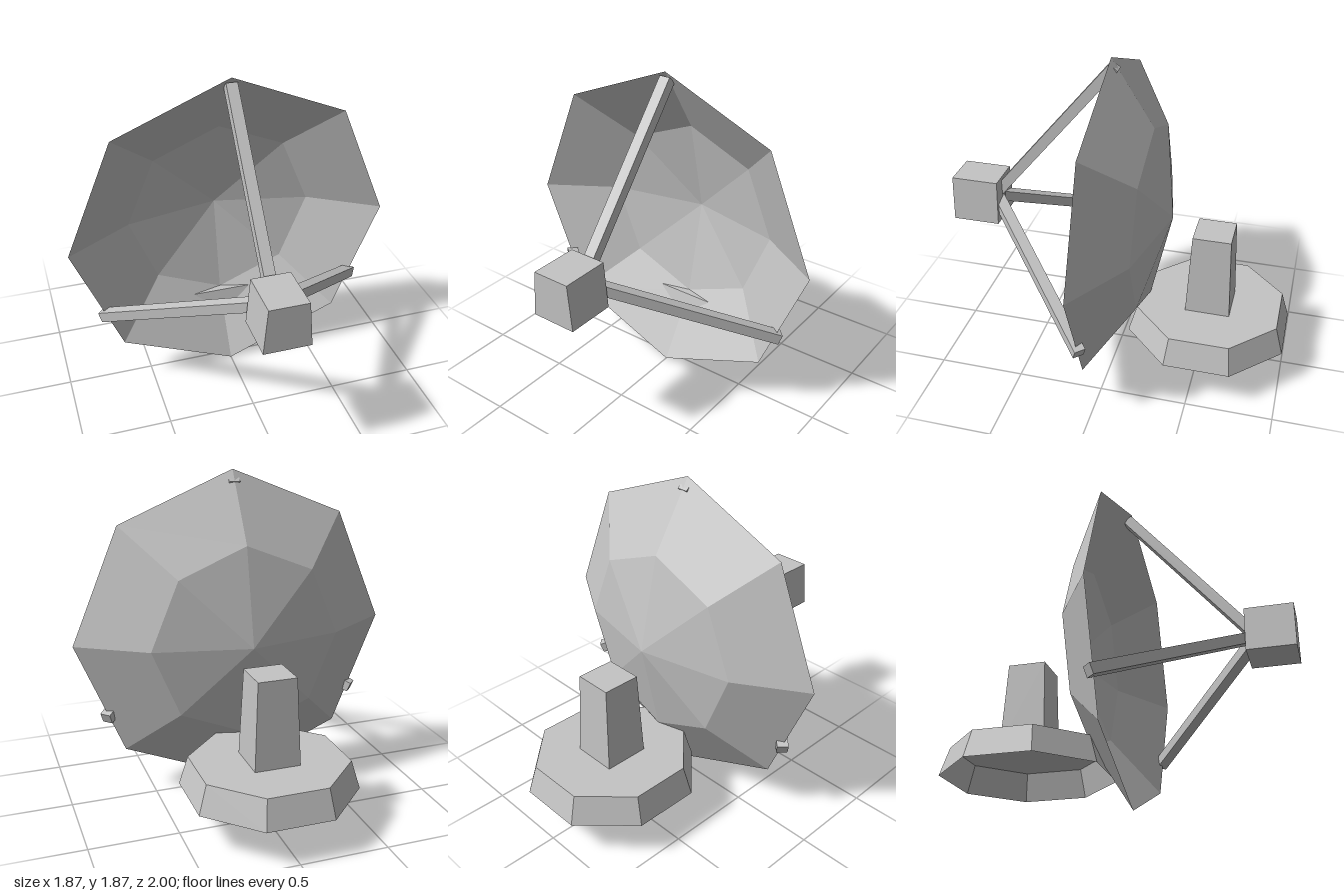
import * as THREE from 'three';

export function createModel() {
  const group = new THREE.Group();
  group.name = 'satelliteDish';
  const grey = new THREE.MeshStandardMaterial({ color: 0xc4c4c4, flatShading: true, side: THREE.DoubleSide });
  grey.name = 'grey';

  const add = (name, geometry) => {
    const flat = geometry.index ? geometry.toNonIndexed() : geometry;
    flat.computeVertexNormals();
    const mesh = new THREE.Mesh(flat, grey);
    mesh.name = name;
    group.add(mesh);
    return mesh;
  };
  const profile = (pairs) => pairs.map(([x, y]) => new THREE.Vector2(x, y));

  const axisY = 0.937; // height of the dish axis
  const baseZ = -0.545; // centre of the stand

  // Faceted reflector: a thin open shell facing +z
  const dish = new THREE.LatheGeometry(profile([[0, -0.3], [0.55, -0.18], [0.935, 0.06]]), 8);
  dish.rotateX(Math.PI / 2);
  add('reflector', dish).position.y = axisY;

  // Octagonal foot, open underneath
  const foot = new THREE.LatheGeometry(profile([[0.495, 0.225], [0.445, 0.388], [0, 0.388]]), 8, Math.PI / 8);
  add('foot', foot).position.z = baseZ;

  // Square tapered post
  const post = new THREE.CylinderGeometry(0.11 * Math.SQRT2, 0.13 * Math.SQRT2, 0.495, 4, 1, true);
  post.rotateY(Math.PI / 4);
  add('post', post).position.set(0, 0.6355, baseZ);
  const cap = new THREE.PlaneGeometry(0.22, 0.22).rotateX(-Math.PI / 2);
  add('postTop', cap).position.set(0, 0.883, baseZ);

  // Receiver: trapezoid block at the focus
  const outline = new THREE.Shape(profile([[-0.13, 0.807], [0.13, 0.807], [0.108, 1.07], [-0.108, 1.07]]));
  const receiver = new THREE.ExtrudeGeometry(outline, { depth: 0.275, bevelEnabled: false });
  add('receiver', receiver).position.z = 0.725;

  // Three struts from the receiver to the rim
  const focus = new THREE.Vector3(0, axisY, 0.779);
  for (let i = 0; i < 3; i++) {
    const a = (i * Math.PI * 2) / 3;
    const end = new THREE.Vector3(0.89 * Math.sin(a), axisY + 0.89 * Math.cos(a), 0.04);
    const strut = add('strut' + (i + 1), new THREE.BoxGeometry(0.064, 0.06, focus.distanceTo(end)));
    strut.position.lerpVectors(focus, end, 0.5);
    strut.lookAt(end);
  }

  return group;
}
